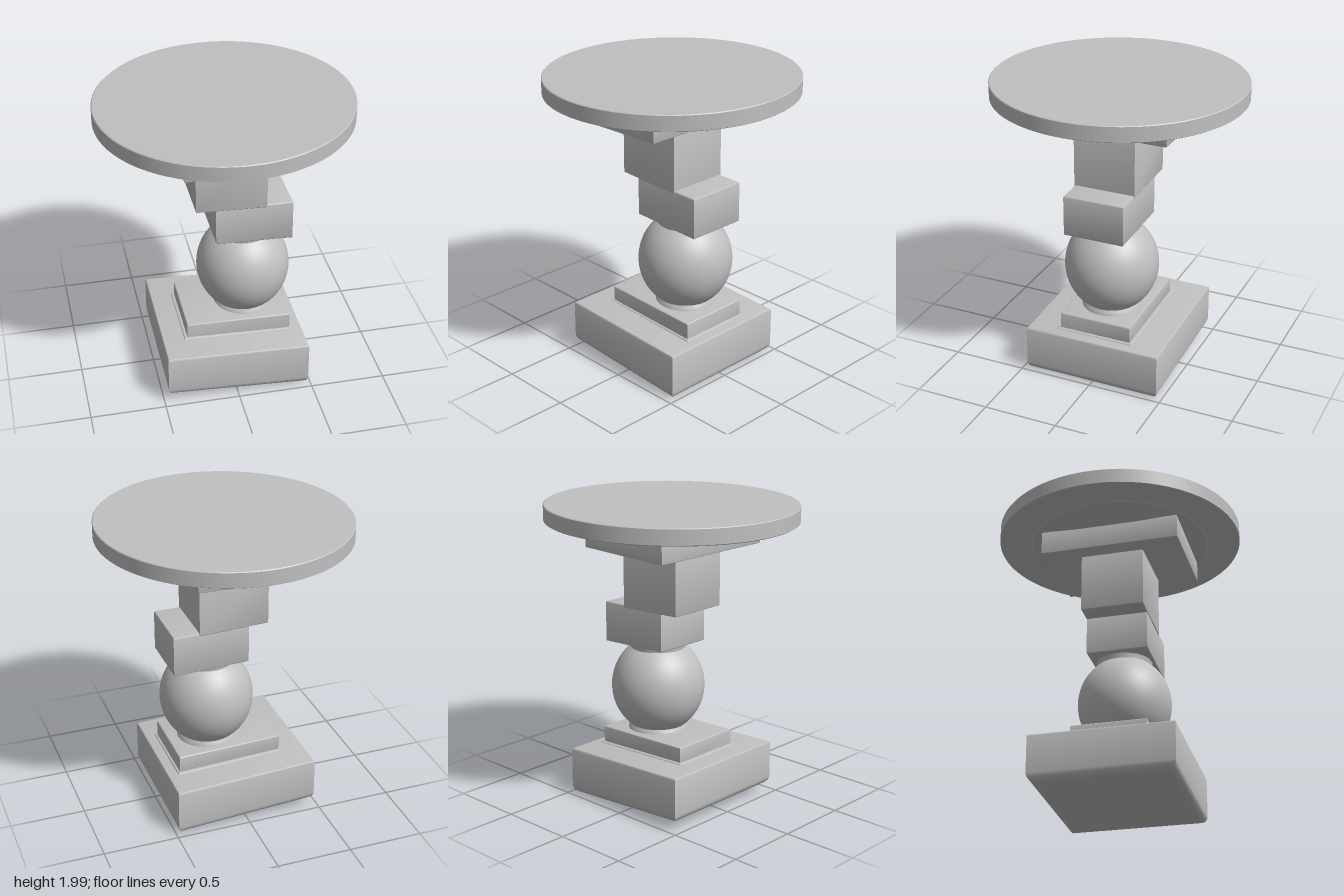
import * as THREE from 'three';
import { toCreasedNormals } from 'three/addons/utils/BufferGeometryUtils.js';

const stone = new THREE.MeshStandardMaterial({ color: 0xc0c0c0 });
stone.name = 'stone grey';

function add(group, name, geometry) {
  const mesh = new THREE.Mesh(toCreasedNormals(geometry, 0.6), stone);
  mesh.name = name;
  group.add(mesh);
  return mesh;
}

// Rounded edge as [inset, height from the edge] steps
function rounding(r, steps) {
  return Array.from({ length: steps + 1 }, (_, i) => {
    const a = (i / steps) * Math.PI / 2;
    return [r * (1 - Math.sin(a)), r * (1 - Math.cos(a))];
  });
}

// Square block with slanted top and bottom, stacked from rectangular loops.
// bottom and top are [height at left end, height at right end].
function blockGeometry([x0, x1], [z0, z1], bottom, top, rBottom, rTop) {
  const height = (top[0] + top[1] - bottom[0] - bottom[1]) / 2;
  const profile = [
    ...rounding(rBottom, 6).map(([inset, h]) => [inset, h / height]),
    ...rounding(rTop, 3).reverse().map(([inset, h]) => [inset, 1 - h / height]),
  ];
  const positions = [], index = [];
  for (const [inset, t] of profile) {
    for (const [sx, sz] of [[0, 1], [1, 1], [1, 0], [0, 0]]) {
      const x = sx ? x1 - inset : x0 + inset;
      const z = sz ? z1 - inset : z0 + inset;
      const u = (x - x0) / (x1 - x0);
      const lo = THREE.MathUtils.lerp(bottom[0], bottom[1], u);
      const hi = THREE.MathUtils.lerp(top[0], top[1], u);
      positions.push(x, THREE.MathUtils.lerp(lo, hi, t), z);
    }
  }
  for (let r = 0; r < profile.length - 1; r++) {
    for (let i = 0; i < 4; i++) {
      const a = r * 4 + i, b = r * 4 + (i + 1) % 4;
      index.push(a, b, b + 4, a, b + 4, a + 4);
    }
  }
  const e = (profile.length - 1) * 4;
  index.push(0, 2, 1, 0, 3, 2, e, e + 1, e + 2, e, e + 2, e + 3);
  const geometry = new THREE.BufferGeometry();
  geometry.setAttribute('position', new THREE.Float32BufferAttribute(positions, 3));
  geometry.setIndex(index);
  return geometry;
}

// Turned shape from [radius, height] points, tilted by a slope along x
function turned(points, slope = 0, segments = 96) {
  const geometry = new THREE.LatheGeometry(points.map(([r, y]) => new THREE.Vector2(r, y)), segments);
  const p = geometry.attributes.position;
  for (let i = 0; i < p.count; i++) p.setY(i, p.getY(i) + slope * p.getX(i));
  return geometry;
}

export function createModel() {
  const model = new THREE.Group();
  model.name = 'pedestalTable';

  // Foot and plinth
  add(model, 'base', blockGeometry([-0.47, 0.482], [-0.47, 0.465], [0.06, 0.003], [0.365, 0.325], 0.055, 0.012));
  add(model, 'plinthFillet', blockGeometry([-0.325, 0.415], [-0.265, 0.265], [0.34, 0.31], [0.367, 0.337], 0.004, 0.012));
  add(model, 'plinth', blockGeometry([-0.302, 0.398], [-0.245, 0.25], [0.33, 0.30], [0.467, 0.447], 0.004, 0.008));

  // Ball with short flared collars at both ends
  const ball = [[0, -0.305], [0.2, -0.305], [0.195, -0.28], [0.183, -0.267]];
  for (let i = 0; i <= 32; i++) {
    const a = THREE.MathUtils.lerp(-0.94, 0.94, i / 32);
    ball.push([0.31 * Math.cos(a), 0.33 * Math.sin(a)]);
  }
  ball.push([0.183, 0.272], [0.188, 0.3], [0, 0.3]);
  add(model, 'ball', turned(ball, 0, 64)).position.set(0.127, 0.75, 0);

  // Offset column blocks and the cap
  add(model, 'lowerBlock', blockGeometry([-0.095, 0.41], [-0.203, 0.208], [1.053, 1.035], [1.318, 1.31], 0.01, 0.008));
  add(model, 'upperBlock', blockGeometry([-0.225, 0.237], [-0.206, 0.213], [1.313, 1.295], [1.72, 1.73], 0.006, 0.004));
  add(model, 'cap', blockGeometry([-0.342, 0.328], [-0.452, 0.473], [1.706, 1.722], [1.868, 1.872], 0.006, 0.004));

  // Shallow dish below the round top
  add(model, 'underDish', turned([[0, 1.86], [0.4, 1.86], [0.6, 1.874], [0.615, 1.89], [0, 1.89]], 0.004));
  add(model, 'tableTop', turned([[0, 1.884], [0.81, 1.884], [0.82, 1.89], [0.82, 1.986], [0.815, 1.991], [0, 1.991]], 0.011, 128));

  return model;
}
